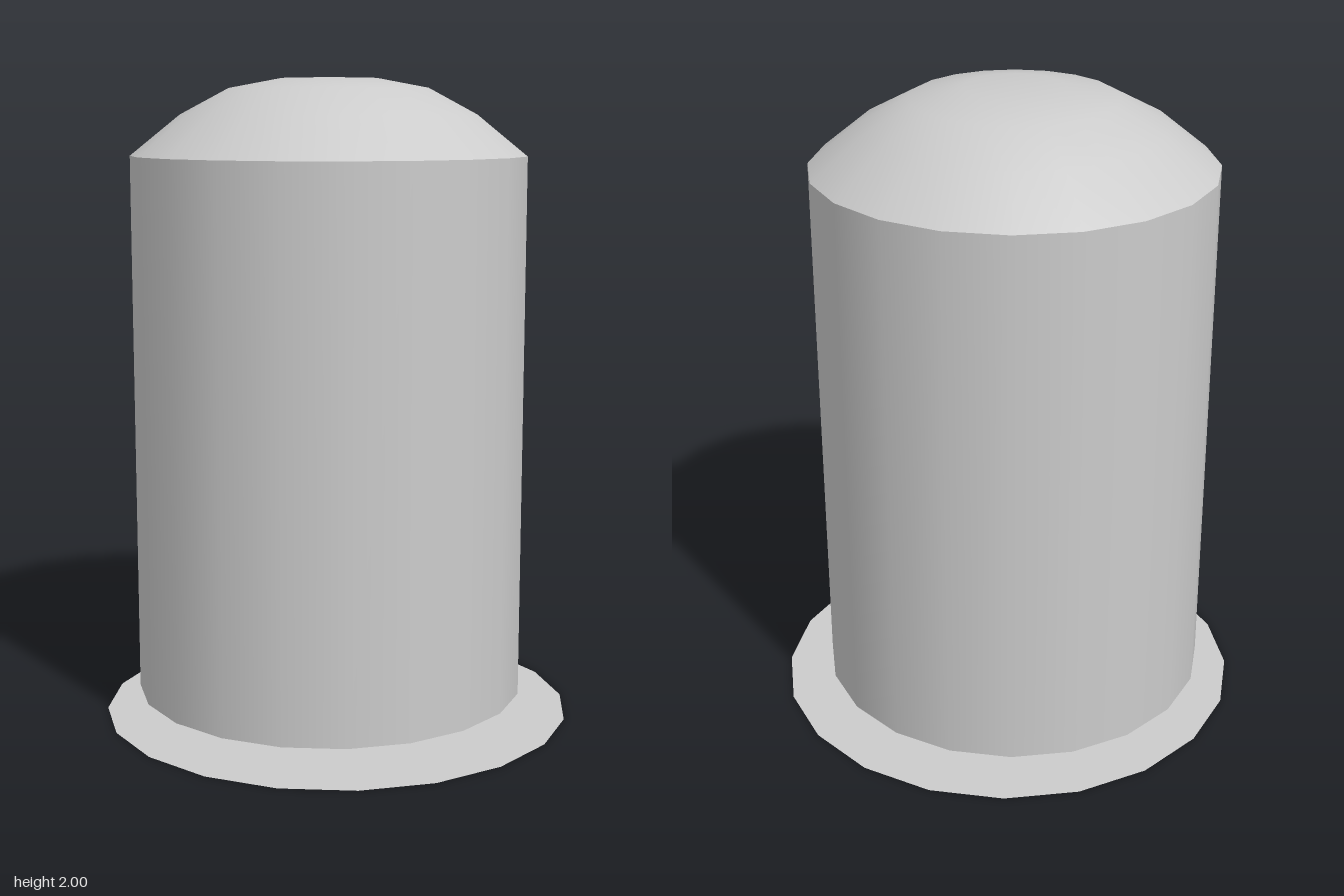
import * as THREE from 'three';

const SIDES = 20;
const AXIS_X = -0.025; // the tank sits slightly off the base centre

export function createModel() {
  const group = new THREE.Group();
  const material = new THREE.MeshStandardMaterial({ color: 0xcccccc });
  const thin = new THREE.MeshStandardMaterial({ color: 0xcccccc, side: THREE.DoubleSide });

  const add = (name, geometry, x, y, mat = material) => {
    const mesh = new THREE.Mesh(geometry, mat);
    mesh.name = name;
    mesh.position.set(x, y, 0);
    group.add(mesh);
  };
  const drum = (radius, y0, y1) => [
    new THREE.CylinderGeometry(radius, radius, y1 - y0, SIDES), AXIS_X, (y0 + y1) / 2,
  ];

  // Flat ground plate without thickness
  add('basePlate', new THREE.CircleGeometry(0.74, SIDES).rotateX(-Math.PI / 2), 0, 0, thin);

  // Short foot and main drum
  add('foot', ...drum(0.25, 0.01, 0.07));
  add('tankBody', ...drum(0.615, 0.07, 1.765));

  // Shallow domed lid
  const profile = [[0.615, 1.765], [0.46, 1.89], [0.31, 1.97], [0.15, 2], [0, 2]]
    .map(([r, y]) => new THREE.Vector2(r, y));
  add('domedLid', new THREE.LatheGeometry(profile, SIDES), AXIS_X, 0);

  return group;
}
